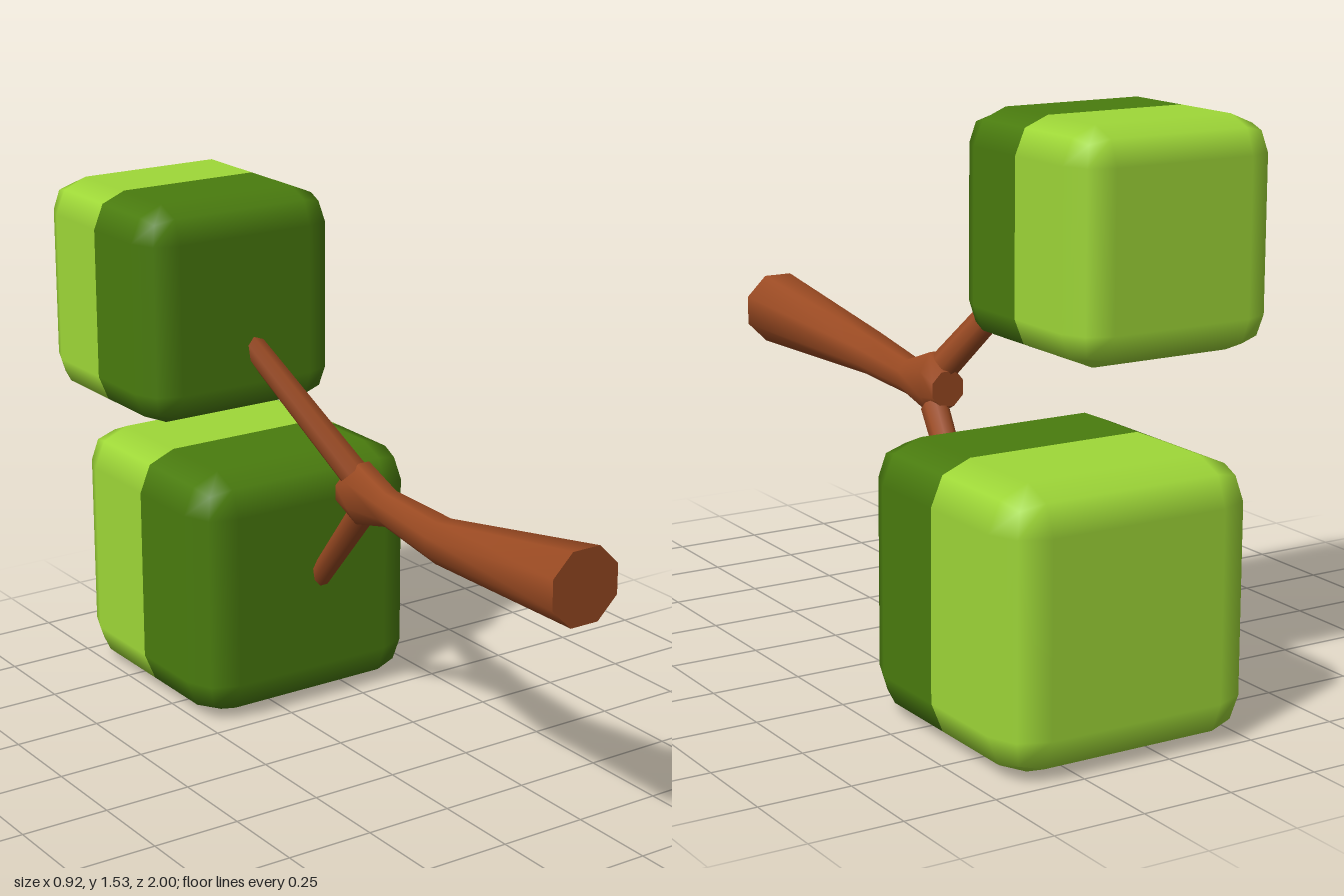
import * as THREE from 'three';
import { RoundedBoxGeometry } from 'three/addons/geometries/RoundedBoxGeometry.js';

const bark = new THREE.MeshStandardMaterial({ color: 0x9a4a22 });
bark.name = 'bark';
const darkLeaf = new THREE.MeshStandardMaterial({ color: 0x4a7c0e });
darkLeaf.name = 'darkLeaf';
const lightLeaf = new THREE.MeshStandardMaterial({ color: 0x9fd838 });
lightLeaf.name = 'lightLeaf';

function addMesh(parent, name, geometry, material) {
  const mesh = new THREE.Mesh(geometry, material);
  mesh.name = name;
  parent.add(mesh);
  return mesh;
}

// Keeps the part of a rounded box on one side of a z plane, open at the cut.
function halfBox(size, radius, cut, side) {
  const source = new RoundedBoxGeometry(...size, 1, radius);
  const pos = source.attributes.position, nor = source.attributes.normal;
  const outP = [], outN = [];
  for (let i = 0; i < pos.count; i += 3) {
    const corners = [0, 1, 2].map((k) => i + k);
    if (corners.every((v) => (pos.getZ(v) - cut) * side <= 0)) continue;
    for (const v of corners) {
      const z = side > 0 ? Math.max(pos.getZ(v), cut) : Math.min(pos.getZ(v), cut);
      outP.push(pos.getX(v), pos.getY(v), z);
      outN.push(nor.getX(v), nor.getY(v), nor.getZ(v));
    }
  }
  const geometry = new THREE.BufferGeometry();
  geometry.setAttribute('position', new THREE.Float32BufferAttribute(outP, 3));
  geometry.setAttribute('normal', new THREE.Float32BufferAttribute(outN, 3));
  return geometry;
}

// Leaf block in two greens, dark towards the front.
function leafBlock(name, size, centre, radius, cutZ) {
  const group = new THREE.Group();
  group.name = name;
  const cut = cutZ - centre[2];
  addMesh(group, name + 'Front', halfBox(size, radius, cut, 1), darkLeaf);
  addMesh(group, name + 'Back', halfBox(size, radius, cut, -1), lightLeaf);
  group.position.set(...centre);
  return group;
}

// Smooth loft through elliptical rings [x, y, z, rx, ry], ordered front to back.
function loft(rings, sides) {
  const points = [], index = [];
  for (const [x, y, z, rx, ry] of rings) {
    for (let i = 0; i < sides; i++) {
      const a = ((i + 0.5) / sides) * Math.PI * 2;
      points.push(x + rx * Math.cos(a), y + ry * Math.sin(a), z);
    }
  }
  for (let r = 0; r < rings.length - 1; r++) {
    for (let i = 0; i < sides; i++) {
      const a = r * sides + i, b = r * sides + ((i + 1) % sides);
      index.push(a, a + sides, b, b, a + sides, b + sides);
    }
  }
  const geometry = new THREE.BufferGeometry();
  geometry.setAttribute('position', new THREE.Float32BufferAttribute(points, 3));
  geometry.setIndex(index);
  geometry.computeVertexNormals();
  return geometry;
}

// Flat end for a loft ring, facing +z (or -z when flipped).
function ringCap([x, y, z, rx, ry], sides, flip) {
  const geometry = new THREE.CircleGeometry(1, sides, Math.PI / sides);
  if (flip) geometry.rotateY(Math.PI);
  return geometry.scale(rx, ry, 1).translate(x, y, z);
}

// Tapered branch between two points.
function branch(parent, name, from, to, r0, r1) {
  const a = new THREE.Vector3(...from), b = new THREE.Vector3(...to);
  const dir = b.clone().sub(a);
  const mesh = addMesh(parent, name, new THREE.CylinderGeometry(r1, r0, dir.length(), 8), bark);
  mesh.position.copy(a).add(b).multiplyScalar(0.5);
  mesh.quaternion.setFromUnitVectors(new THREE.Vector3(0, 1, 0), dir.normalize());
}

export function createModel() {
  const tree = new THREE.Group();
  tree.name = 'fallenTree';

  // Trunk lying along z, swelling into the fork
  const sides = 8;
  const rings = [
    [0.03, 0.785, 1.0, 0.109, 0.107],
    [0.005, 0.742, 0.46, 0.064, 0.062],
    [0.045, 0.737, 0.17, 0.049, 0.051],
    [0.044, 0.745, 0.04, 0.056, 0.093],
    [0.044, 0.738, -0.02, 0.052, 0.052],
  ];
  const trunk = new THREE.Group();
  trunk.name = 'trunk';
  addMesh(trunk, 'trunkBody', loft(rings, sides), bark);
  addMesh(trunk, 'trunkBase', ringCap(rings[0], sides, false), bark);
  addMesh(trunk, 'forkEnd', ringCap(rings[4], sides, true), bark);
  tree.add(trunk);

  // Two branches running into the leaf blocks
  branch(tree, 'upperBranch', [0.03, 0.8, 0.015], [-0.15, 1.16, -0.25], 0.042, 0.033);
  branch(tree, 'lowerBranch', [0.062, 0.685, 0.02], [0.135, 0.355, -0.32], 0.038, 0.031);

  // Leaf blocks
  tree.add(leafBlock('upperLeaves', [0.595, 0.6, 0.595], [-0.1625, 1.23, -0.5025], 0.095, -0.495));
  tree.add(leafBlock('lowerLeaves', [0.72, 0.725, 0.725], [0.095, 0.3625, -0.6375], 0.112, -0.625));
  return tree;
}
